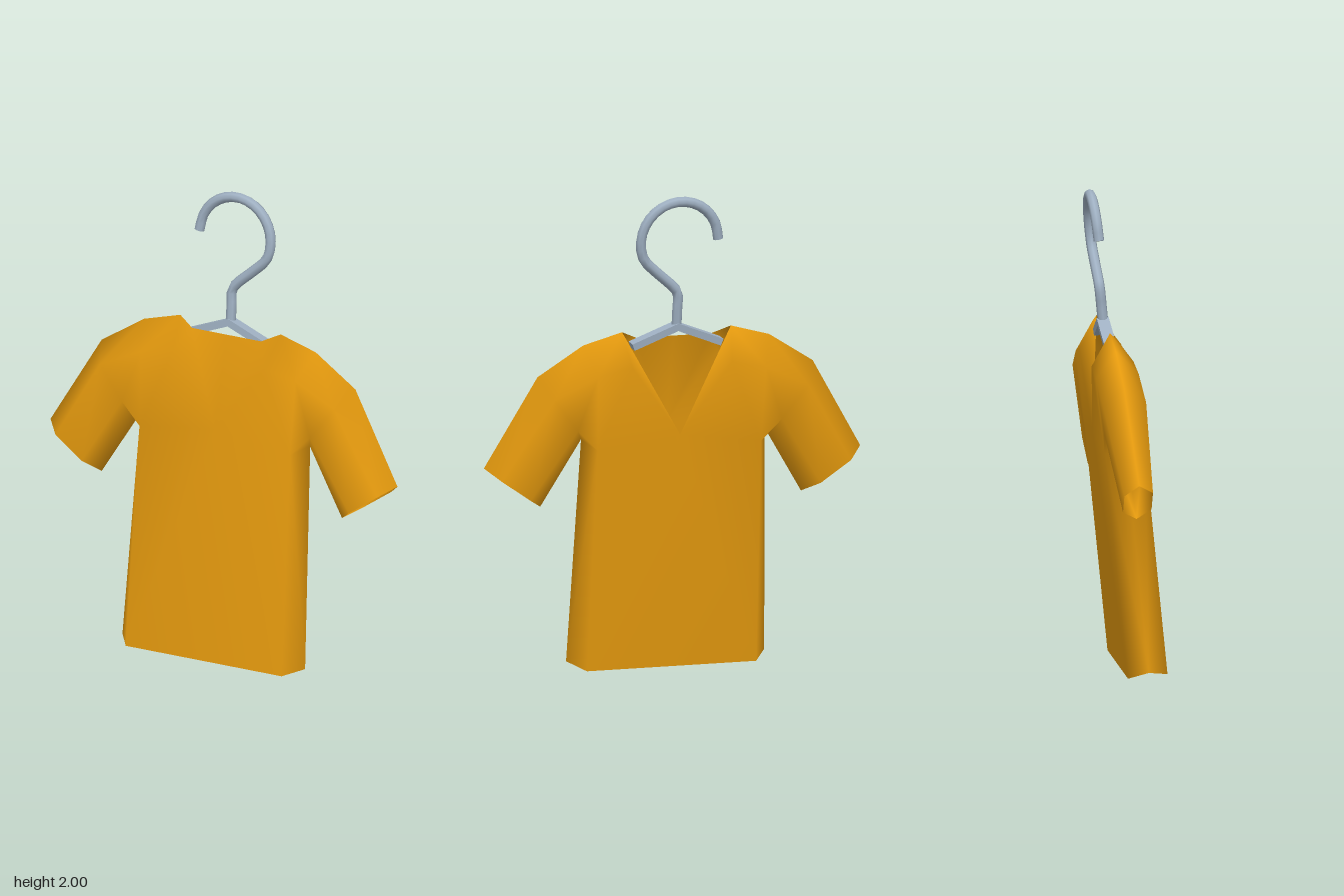
import * as THREE from 'three';
import { mergeVertices } from 'three/addons/utils/BufferGeometryUtils.js';

// Corner points of one quarter of the shirt (x > 0, z > 0)
const P = {
  // cuff, upper edge to lower edge
  a: [0.83, 0.88, 0], b: [0.77, 0.835, 0.06], c: [0.64, 0.745, 0.06], d: [0.575, 0.70, 0],
  // sleeve root, shoulder to armpit
  e: [0.607, 1.26, 0], f: [0.56, 1.18, 0.09], g: [0.45, 1.04, 0.085], h: [0.405, 0.98, 0],
  // shoulder
  i: [0.41, 1.385, 0], j: [0.37, 1.27, 0.09], k: [0.24, 1.432, 0], m: [0.22, 1.3, 0.088],
  // neckline and chest
  n: [0.165, 1.395, 0.03], q: [0, 1.395, 0.03], o: [0, 1.0, 0.09], p: [0.36, 0.95, 0.085],
  // hem
  O: [0, 0, 0.083], P: [0.373, 0, 0.083], H: [0.437, 0.025, 0],
};
const SHARED = ['efba', 'fgcb', 'ghdc', 'ijfe', 'kmji', 'jgf', 'jpg', 'mpj', 'mop', 'phg', 'pPHh', 'oOPp'];
const STRAIGHT_NECK = ['knm', 'nom', 'nqo'];
const V_NECK = ['kom'];

function shirtGeometry() {
  const pos = [];
  for (const sx of [1, -1]) {
    for (const sz of [1, -1]) {
      const faces = SHARED.concat(sz > 0 ? STRAIGHT_NECK : V_NECK);
      for (const face of faces) {
        for (let t = 1; t < face.length - 1; t++) {
          const tri = [face[0], face[t], face[t + 1]];
          if (sx * sz < 0) tri.reverse(); // mirrored quarters
          for (const key of tri) {
            const [x, y, z] = P[key];
            pos.push(x === 0 ? 0 : x * sx, y, z === 0 ? 0 : z * sz);
          }
        }
      }
    }
  }
  let geo = new THREE.BufferGeometry();
  geo.setAttribute('position', new THREE.Float32BufferAttribute(pos, 3));
  geo = mergeVertices(geo, 1e-4);
  geo.computeVertexNormals();
  return geo;
}

export function createModel() {
  const fabric = new THREE.MeshStandardMaterial({ color: 0xe59a0e, side: THREE.DoubleSide });
  fabric.name = 'goldFabric';
  const steel = new THREE.MeshStandardMaterial({ color: 0x9fb0c2 });
  steel.name = 'greyMetal';

  const model = new THREE.Group();
  model.name = 'shirtOnHanger';
  const body = new THREE.Group();
  body.name = 'hangingShirt';
  model.add(body);

  const add = (name, geo, mat) => {
    const mesh = new THREE.Mesh(geo, mat);
    mesh.name = name;
    body.add(mesh);
    return mesh;
  };

  add('shirt', shirtGeometry(), fabric);

  // Hook: short stem, slanted neck, then a round crook
  const R = 0.17, cy = 1.81, wire = 0.022;
  const path = [[0, 1.43], [0, 1.51], [0, 1.585], [0.025, 1.618], [0.09, 1.675]];
  for (let s = 0; s <= 9; s++) {
    const ang = THREE.MathUtils.degToRad(-24 + s * 22.6);
    path.push([R * Math.cos(ang), cy + R * Math.sin(ang)]);
  }
  const curve = new THREE.CatmullRomCurve3(path.map(([x, y]) => new THREE.Vector3(x, y, 0)));
  add('hook', new THREE.TubeGeometry(curve, 28, wire, 8, false), steel);

  // Closed tip of the hook
  const tip = add('hookTip', new THREE.CircleGeometry(wire, 8), steel);
  tip.position.copy(curve.getPoint(1));
  tip.quaternion.setFromUnitVectors(new THREE.Vector3(0, 0, 1), curve.getTangent(1));

  // Sloping hanger arms running into the collar
  for (const side of [1, -1]) {
    const arm = add(side > 0 ? 'leftArm' : 'rightArm', new THREE.BoxGeometry(0.215, 0.03, 0.05), steel);
    arm.position.set(side * 0.095, 1.408, 0);
    arm.rotation.z = -side * 0.37;
  }

  // The whole piece is turned a little and leans back
  body.rotation.set(-0.1, -0.16, 0, 'YXZ');
  body.position.set(-0.015, 0.008, 0.08);
  return model;
}
